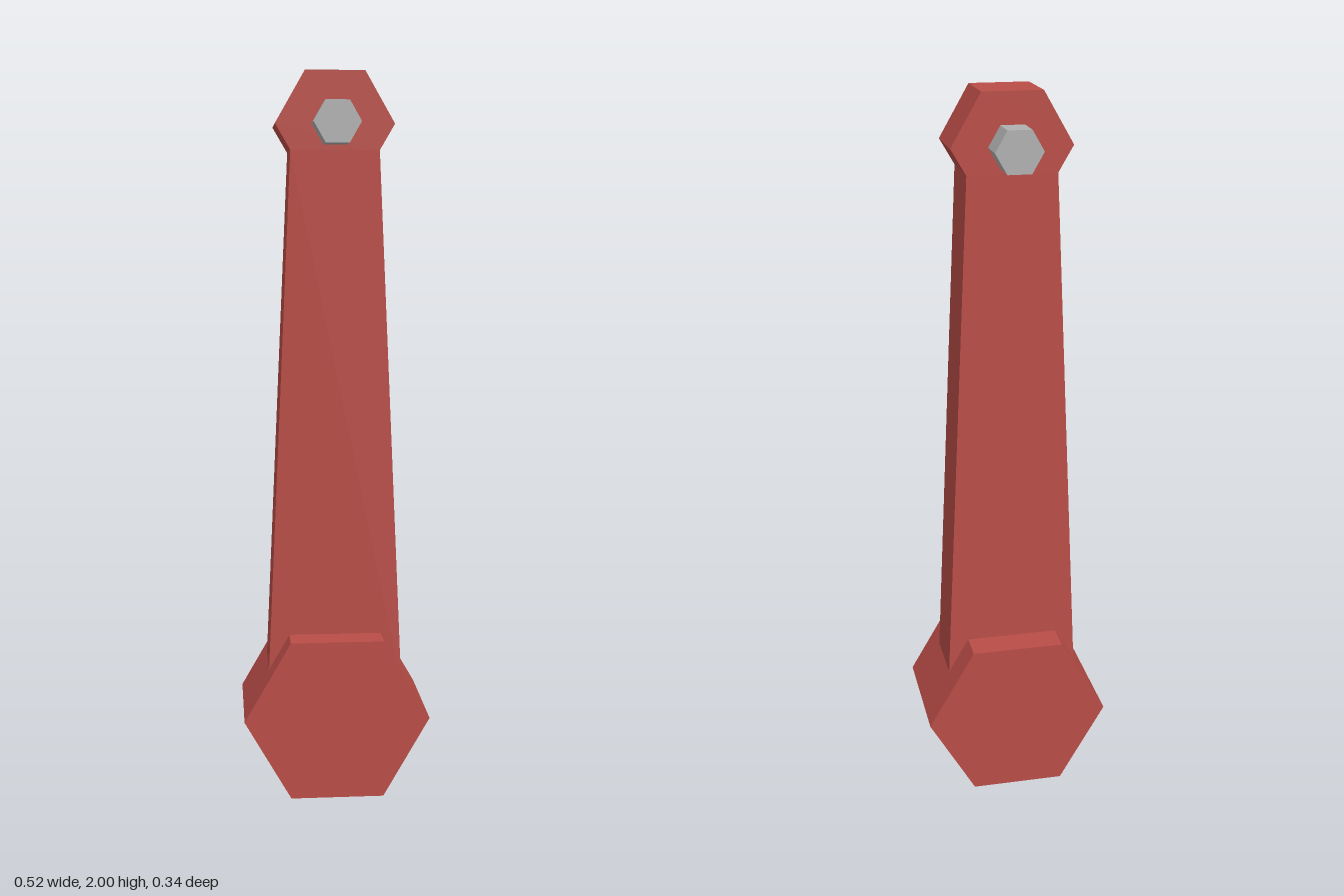
import * as THREE from 'three';

const red = new THREE.MeshStandardMaterial({ color: 0xb94d47, flatShading: true });
red.name = 'red paint';
const steel = new THREE.MeshStandardMaterial({ color: 0xb0b0b0, flatShading: true });
steel.name = 'grey steel';

// Hexagonal prism along z with corners pointing to +x and -x
function hexPrism(name, radius, depth, y, material) {
  const geometry = new THREE.CylinderGeometry(radius, radius, depth, 6, 1, false, Math.PI / 6);
  geometry.rotateX(Math.PI / 2);
  const mesh = new THREE.Mesh(geometry, material);
  mesh.name = name;
  mesh.position.y = y;
  return mesh;
}

export function createModel() {
  const group = new THREE.Group();
  group.name = 'crankArm';
  const pinY = 1.86, eyeRadius = 0.162, armDepth = 0.172;

  // Tapered arm and hexagonal eye as one outline
  const right = [[0.189, 0.3], [0.121, 1.79], [eyeRadius, pinY], [eyeRadius / 2, 2]];
  const left = right.map(([x, y]) => [-x, y]).reverse();
  const outline = new THREE.Shape([...right, ...left].map(([x, y]) => new THREE.Vector2(x, y)));
  const armGeometry = new THREE.ExtrudeGeometry(outline, { depth: armDepth, bevelEnabled: false });
  armGeometry.translate(0, 0, -armDepth / 2);
  const arm = new THREE.Mesh(armGeometry, red);
  arm.name = 'arm';
  group.add(arm);

  // Heavy hub at the bottom and pin through the eye
  group.add(hexPrism('hub', 0.2587, 0.344, 0.224, red));
  group.add(hexPrism('pin', 0.064, 0.344, pinY, steel));
  return group;
}
